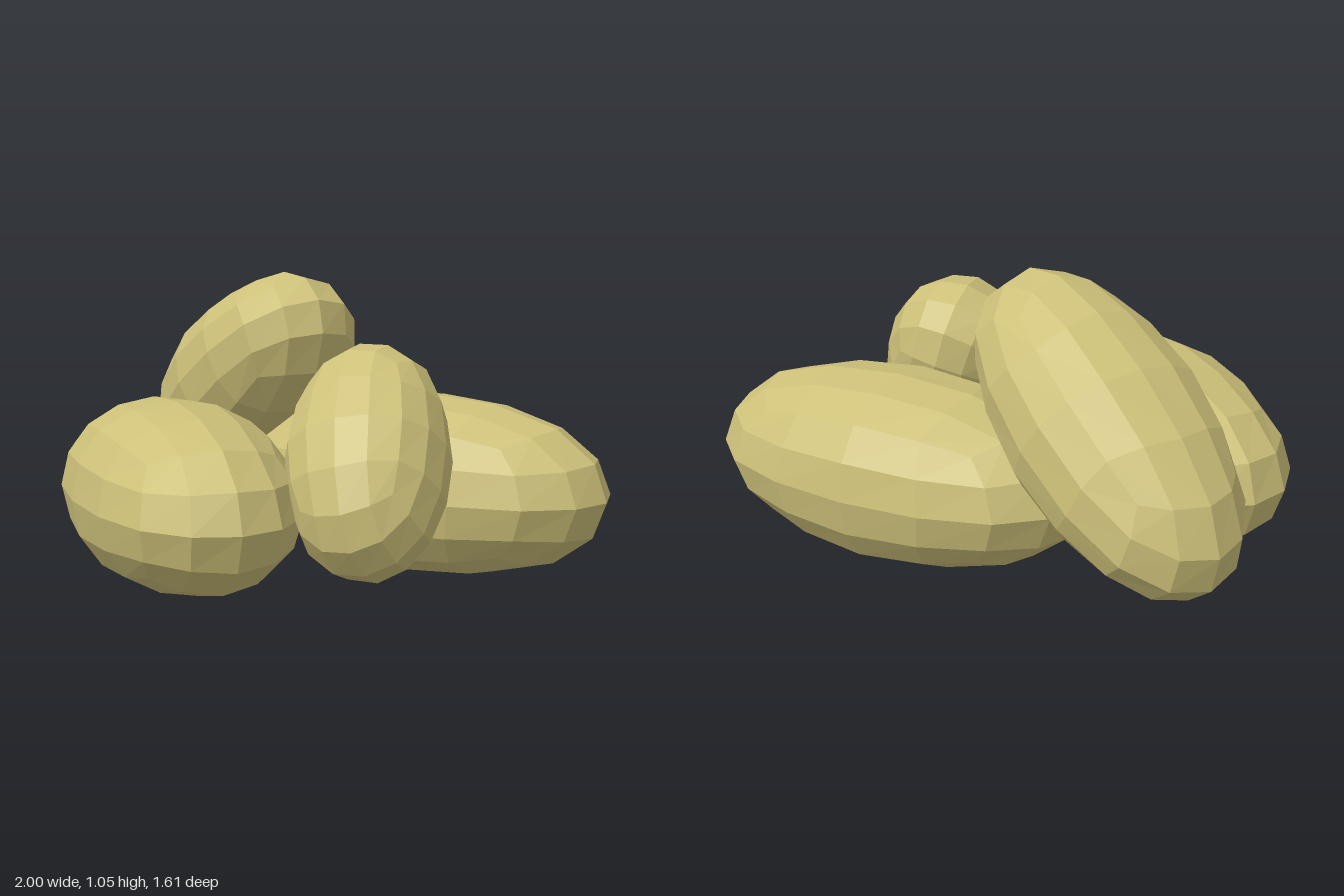
import * as THREE from 'three';

// Rounded cube: positions for each kind of grid point (1 = cube face, 0.5 = halfway, 0 = middle)
const ROUND = {
  '1,0,0': { 1: 1, 0: 0 },
  '1,0.5,0': { 1: 0.934, 0.5: 0.399, 0: 0 },
  '1,1,0': { 1: 0.733, 0: 0 },
  '1,0.5,0.5': { 1: 0.87, 0.5: 0.371 },
  '1,1,0.5': { 1: 0.682, 0.5: 0.344 },
  '1,1,1': { 1: 0.58 },
};

function roundedCube() {
  const geometry = new THREE.BoxGeometry(2, 2, 2, 4, 4, 4);
  const pos = geometry.attributes.position;
  for (let i = 0; i < pos.count; i++) {
    const p = [pos.getX(i), pos.getY(i), pos.getZ(i)].map((c) => Math.round(c * 2) / 2);
    const table = ROUND[p.map(Math.abs).sort((a, b) => b - a).join(',')];
    pos.setXYZ(i, ...p.map((c) => Math.sign(c) * table[Math.abs(c)]));
  }
  return geometry;
}

export function createModel() {
  const group = new THREE.Group();
  group.name = 'potatoPile';
  const material = new THREE.MeshStandardMaterial({ color: 0xcdc079, flatShading: true });
  const deg = THREE.MathUtils.degToRad;

  const addPotato = (name, radii, center, angles, order) => {
    const geometry = roundedCube().scale(...radii);
    geometry.computeVertexNormals();
    const mesh = new THREE.Mesh(geometry, material);
    mesh.name = name;
    mesh.position.set(...center);
    mesh.rotation.set(...angles.map(deg), order);
    group.add(mesh);
  };

  // Two large potatoes lying flat
  addPotato('backPotato', [0.7, 0.32, 0.37], [0.3, 0.32, -0.37], [0, 0, 0], 'XYZ');
  addPotato('frontPotato', [0.7, 0.32, 0.37], [-0.31, 0.32, 0.29], [0, -35, 0], 'XYZ');
  // Medium potato leaning on top of them
  addPotato('leaningPotato', [0.61, 0.29, 0.32], [-0.5, 0.63, -0.43], [0, -26.4, 33.6], 'YZX');
  // Small potato propped upright against the pile
  addPotato('smallPotato', [0.27, 0.425, 0.265], [0.395, 0.49, 0.175], [-38.8, 0, 19], 'XYZ');

  return group;
}
